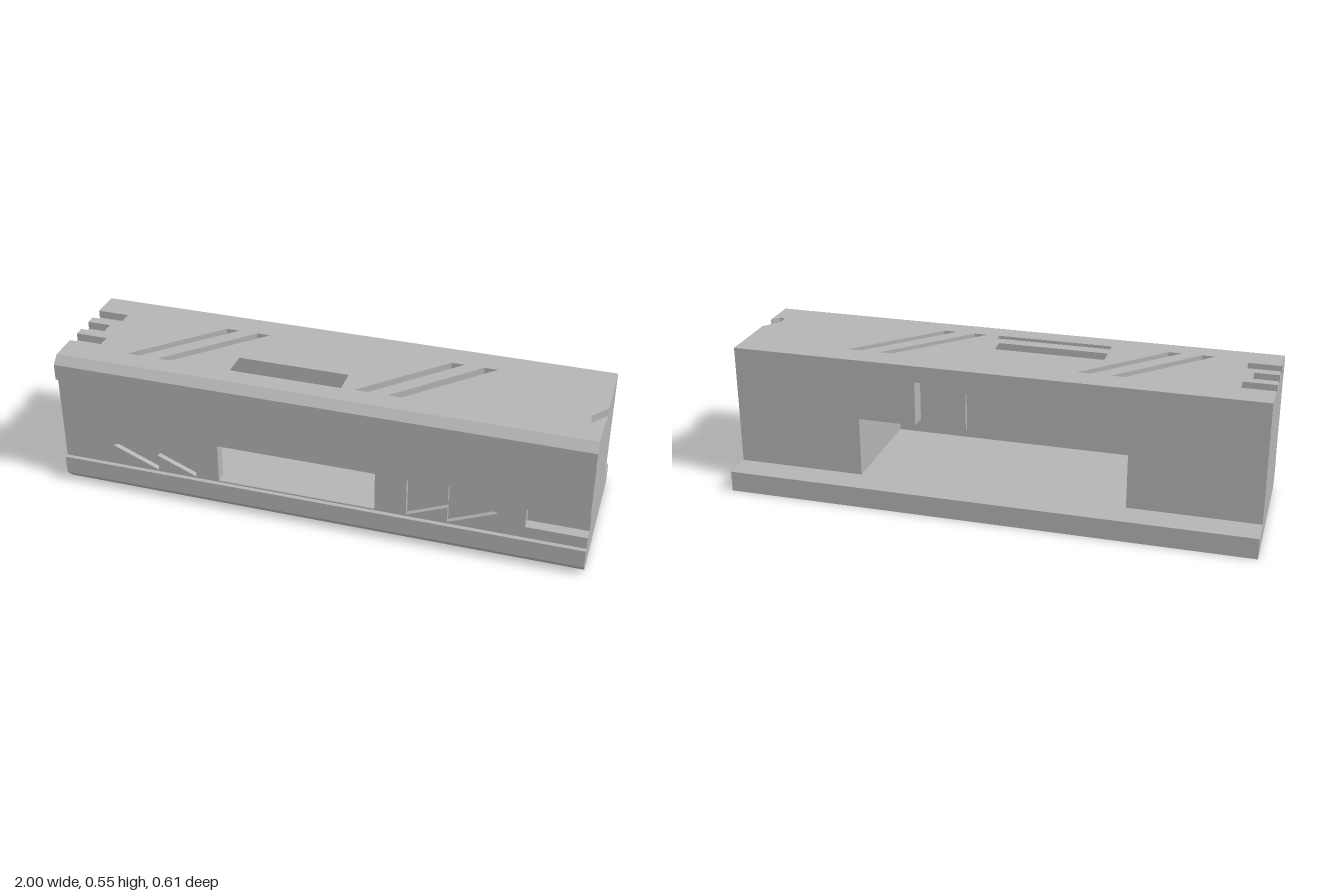
import * as THREE from 'three';

// Closed path from [a, b] pairs
function trace(path, pts) {
  pts.forEach(([a, b], i) => (i ? path.lineTo(a, b) : path.moveTo(a, b)));
  path.closePath();
  return path;
}

function extrude(pts, holes, depth) {
  const shape = trace(new THREE.Shape(), pts);
  holes.forEach(h => shape.holes.push(trace(new THREE.Path(), h)));
  return new THREE.ExtrudeGeometry(shape, { depth, bevelEnabled: false });
}

const rect = (a0, a1, b0, b1) => [[a0, b0], [a1, b0], [a1, b1], [a0, b1]];

export function createModel() {
  const group = new THREE.Group();
  const grey = new THREE.MeshStandardMaterial({ color: 0xb4b4b4 });
  grey.name = 'plainGrey';

  const add = (name, geo) => {
    const mesh = new THREE.Mesh(geo, grey);
    mesh.name = name;
    group.add(mesh);
  };
  // Profile in (z, y), running the full length along x
  const rail = (name, pts) =>
    add(name, extrude(pts, [], 2).rotateY(-Math.PI / 2).translate(1, 0, 0));
  // Elevation in (x, y), between two z values
  const wall = (name, pts, holes, z0, z1) =>
    add(name, extrude(pts, holes, z1 - z0).translate(0, 0, z0));
  // Plan in (x, z), between two y values
  const plate = (name, pts, holes, y0, y1) => {
    const flip = p => p.map(([x, z]) => [x, -z]);
    add(name, extrude(flip(pts), holes.map(flip), y1 - y0).rotateX(-Math.PI / 2).translate(0, y0, 0));
  };

  const back = -0.195, backInner = -0.13, frontInner = 0.245, front = 0.288;
  const floor = 0.08, ceiling = 0.483, cut = 0.515, top = 0.545;

  // Base with rear flange and chamfered front lip
  rail('base', [[-0.305, 0], [0.27, 0], [0.305, 0.037], [0.305, 0.107],
    [front, 0.107], [front, floor], [-0.305, floor]]);

  // Chamfered upper front lip
  rail('upperLip', [[frontInner, ceiling], [front, ceiling], [front, 0.452], [0.305, 0.452],
    [0.305, cut], [0.275, top], [frontInner, top]]);

  // Front wall: window, end slot and sunken double arrows
  const frontOutline = [[-1, floor], [1, floor], [1, 0.153], [0.78, 0.153],
    [0.78, 0.228], [1, 0.228], [1, ceiling], [-1, ceiling]];
  const window = rect(-0.374, 0.23, 0.113, 0.267);
  const arrow = (flat, dir) => [[0, 0.267], [0.152, 0.203], [0.152, 0.267], [0.334, 0.19],
    [0.152, 0.113], [0.152, 0.177], [0, 0.113]].map(([x, y]) => [flat + dir * x, y]);
  const sunk = front - 0.02;
  wall('frontWallInner', frontOutline, [window], frontInner, sunk);
  wall('frontWallOuter', frontOutline, [window, arrow(-0.465, -1), arrow(0.348, 1)], sunk, front);

  // Solid end blocks around the hollow middle
  for (const [name, x0] of [['leftEndBlock', 0.51], ['rightEndBlock', -1]]) {
    wall(name, rect(x0, x0 + 0.49, floor, ceiling), [], backInner, frontInner);
  }

  // Rear wall with a wide opening and a taller notch
  wall('rearWall', [[-1, floor], [-0.51, floor], [-0.51, 0.31], [0.088, 0.31], [0.088, ceiling - 0.001],
    [0.288, ceiling - 0.001], [0.288, 0.31], [0.51, 0.31], [0.51, floor], [1, floor],
    [1, ceiling], [-1, ceiling]], [], back, backInner);

  // Roof with an open rectangular port
  const port = rect(-0.365, 0.075, 0.053, 0.198);
  plate('roof', rect(-1, 1, back, frontInner), [port], ceiling, cut);

  // Top skin: slanted grooves, three end notches and a clipped corner notch
  const grooves = [-0.754, -0.63, 0.123, 0.246].map(x =>
    [[x, 0.196], [x + 0.05, 0.196], [x + 0.335, -0.093], [x + 0.285, -0.093]]);
  const outline = [[-1, back], [1, back], [1, 0.055], [0.952, 0.118], [0.952, 0.163],
    [0.973, 0.163], [1, 0.132], [1, frontInner], [-1, frontInner]];
  for (const [z0, z1, x] of [[0.11, 0.165, -0.877], [0.013, 0.072, -0.908], [-0.083, -0.024, -0.877]]) {
    outline.push([-1, z1], [x, z1], [x, z0], [-1, z0]);
  }
  plate('topSkin', outline, [port, ...grooves], cut, top);

  return group;
}
